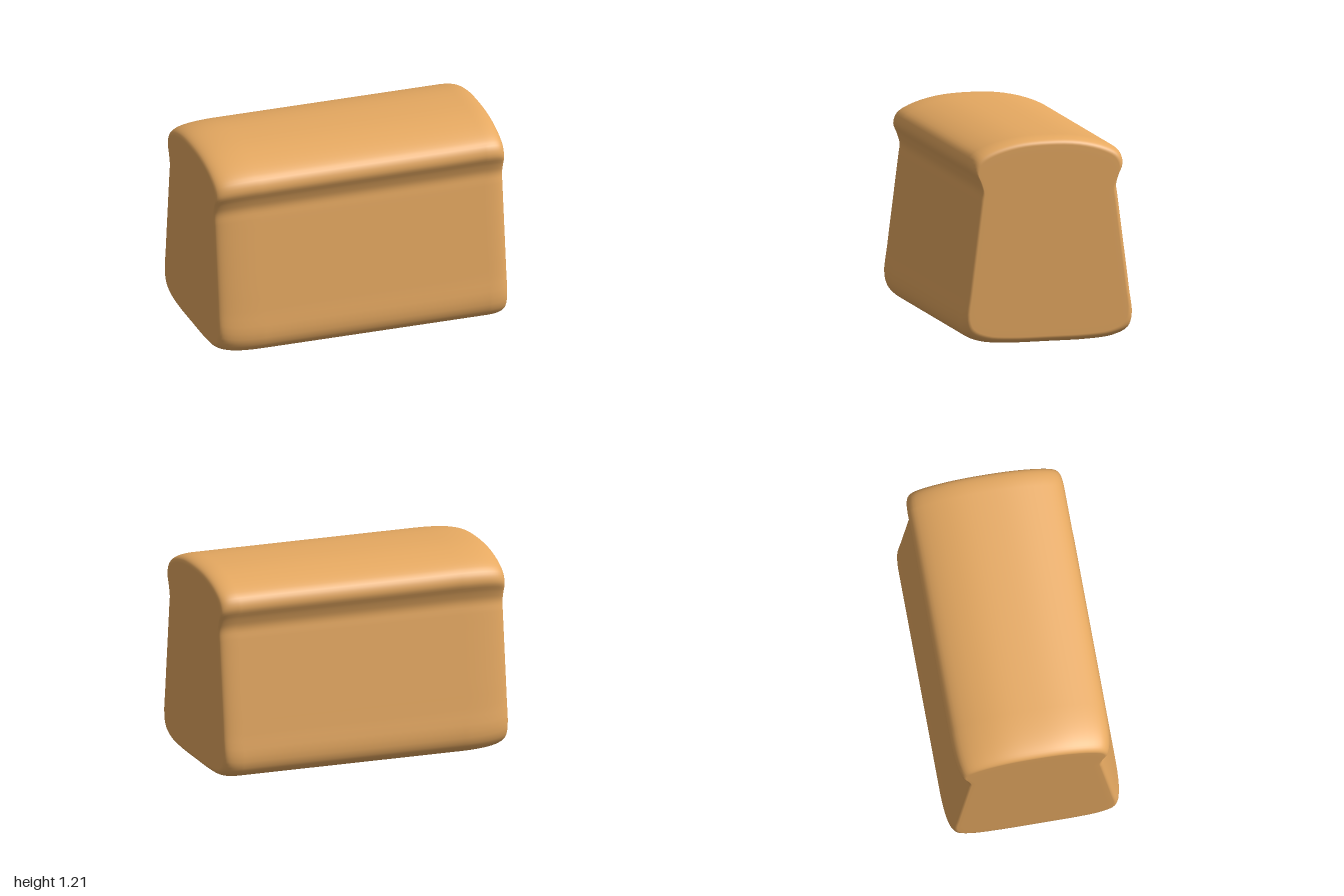
import * as THREE from 'three';

// Half of the loaf's cross-section, bottom centre to top centre: [half width, height]
const HALF = [
  [0, 0], [0.25, 0.002], [0.4, 0.018], [0.49, 0.06], [0.517, 0.13], [0.499, 0.3],
  [0.461, 0.6], [0.429, 0.85], [0.421, 0.92], [0.437, 0.98], [0.461, 1.045],
  [0.44, 1.105], [0.365, 1.152], [0.2, 1.197], [0, 1.21],
];
const HALF_LENGTH = 0.886;
const HALF_WIDTH = 0.517;
const MID_Y = 0.6;
const SIDES = 112;

// Rounding of the two ends: reach along the loaf, inset of the sides, inset of top and bottom
const FRONT_END = { reach: 0.28, side: 0.058, top: 0.06 };
const BACK_END = { reach: 0.12, side: 0.042, top: 0.045 };

function crossSection() {
  const mirrored = HALF.slice(1, -1).reverse().map(([x, y]) => [-x, y]);
  const points = [...HALF, ...mirrored].map(([x, y]) => new THREE.Vector3(x, y, 0));
  return new THREE.CatmullRomCurve3(points, true, 'centripetal').getPoints(SIDES).slice(0, SIDES);
}

// Stations from the middle of one end to its straight body; dir is +1 (front) or -1 (back)
function endStations({ reach, side, top }, dir) {
  const stations = [];
  const rimX = 1 - side / HALF_WIDTH;
  const rimY = 1 - top / MID_Y;
  for (const k of [0.02, 0.35, 0.7, 0.92]) {
    stations.push({ z: dir * HALF_LENGTH, sx: rimX * k, sy: rimY * k });
  }
  const steps = 14;
  for (let i = 0; i <= steps; i++) {
    const t = i / steps;
    const inset = (1 - t) * (1 - t);
    stations.push({
      z: dir * (HALF_LENGTH - reach * t * t),
      sx: 1 - (1 - rimX) * inset,
      sy: 1 - (1 - rimY) * inset,
    });
  }
  return stations;
}

// Loft the cross-section along z with rounded, flat ends
function loafGeometry() {
  const section = crossSection();
  const body = [-0.5, -0.2, 0.1, 0.4].map((z) => ({ z, sx: 1, sy: 1 }));
  const stations = [...endStations(BACK_END, -1), ...body, ...endStations(FRONT_END, 1).reverse()];
  const positions = [];
  const index = [];
  for (const { z, sx, sy } of stations) {
    for (const p of section) positions.push(p.x * sx, MID_Y + (p.y - MID_Y) * sy, z);
  }
  for (let r = 0; r < stations.length - 1; r++) {
    for (let i = 0; i < SIDES; i++) {
      const a = r * SIDES + i;
      const b = r * SIDES + ((i + 1) % SIDES);
      index.push(a, b, a + SIDES, b, b + SIDES, a + SIDES);
    }
  }
  // Close the middle of both ends
  const backCentre = positions.length / 3;
  positions.push(0, MID_Y, -HALF_LENGTH, 0, MID_Y, HALF_LENGTH);
  const last = (stations.length - 1) * SIDES;
  for (let i = 0; i < SIDES; i++) {
    const j = (i + 1) % SIDES;
    index.push(backCentre, j, i, backCentre + 1, last + i, last + j);
  }
  const geometry = new THREE.BufferGeometry();
  geometry.setAttribute('position', new THREE.Float32BufferAttribute(positions, 3));
  geometry.setIndex(index);
  geometry.computeVertexNormals();
  return geometry;
}

export function createModel() {
  const group = new THREE.Group();
  group.name = 'breadLoaf';
  const loaf = new THREE.Mesh(loafGeometry(), new THREE.MeshStandardMaterial({ color: 0xe6a961 }));
  loaf.name = 'loaf';
  loaf.rotation.y = THREE.MathUtils.degToRad(-31.4); // the loaf lies at an angle
  group.add(loaf);
  return group;
}
